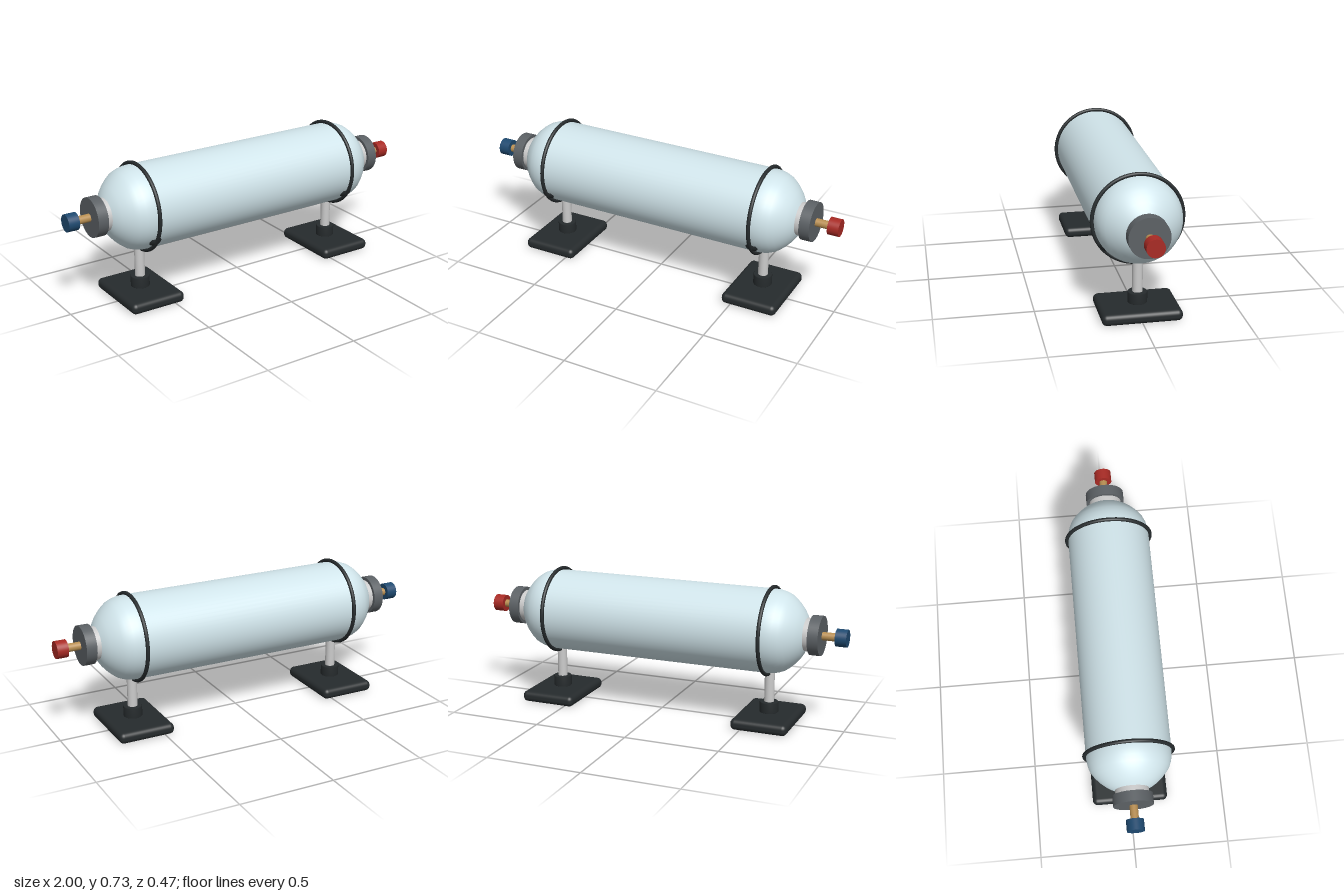
import * as THREE from 'three';
import { RoundedBoxGeometry } from 'three/addons/geometries/RoundedBoxGeometry.js';

const AXIS_Y = 0.493;
const mat = (color, extra = {}) => new THREE.MeshStandardMaterial({ color, ...extra });

export function createModel() {
  const model = new THREE.Group();
  model.name = 'pressureVessel';
  const shell = mat(0xd0e4ea, { side: THREE.DoubleSide });
  const rubber = mat(0x262b2d);
  const steel = mat(0xcccccc);
  const iron = mat(0x5c6165);
  const brass = mat(0xb98f52);

  const add = (parent, name, geometry, material, x, y, z = 0) => {
    const mesh = new THREE.Mesh(geometry, material);
    mesh.name = name;
    mesh.position.set(x, y, z);
    parent.add(mesh);
    return mesh;
  };

  // Disc or rod lying along x between two x positions
  const rod = (parent, name, r, x0, x1, material) => {
    const geometry = new THREE.CylinderGeometry(r, r, Math.abs(x1 - x0), 48);
    geometry.rotateZ(Math.PI / 2);
    return add(parent, name, geometry, material, (x0 + x1) / 2, AXIS_Y);
  };

  // Tank body: straight barrel with domed shoulders
  const dome = [[0.217, 0.6], [0.2155, 0.63], [0.209, 0.66], [0.197, 0.69],
    [0.18, 0.713], [0.16, 0.735], [0.135, 0.757], [0.11, 0.774], [0.083, 0.787]];
  const half = dome.map(([r, x]) => new THREE.Vector2(r, x));
  const profile = [...half.map(p => new THREE.Vector2(p.x, -p.y)).reverse(), ...half];
  const tank = new THREE.LatheGeometry(profile, 64);
  tank.rotateZ(-Math.PI / 2);
  add(model, 'tank', tank, shell, 0, AXIS_Y);

  for (const s of [1, -1]) {
    // Neck, flange, outlet pipe and coloured cap
    const end = new THREE.Group();
    end.name = s > 0 ? 'leftEnd' : 'rightEnd';
    model.add(end);
    rod(end, 'neck', 0.085, s * 0.77, s * 0.825, steel);
    rod(end, 'flange', 0.102, s * 0.815, s * 0.87, iron);
    rod(end, 'outletPipe', 0.021, s * 0.86, s * 0.95, brass);
    rod(end, 'cap', 0.045, s * 0.942, s, mat(s > 0 ? 0xa82a24 : 0x1f4a70));

    // Clamp band around the barrel
    const band = new THREE.TorusGeometry(0.225, 0.01, 12, 64);
    band.rotateY(Math.PI / 2);
    add(model, 'clampBand', band, rubber, s * 0.6, AXIS_Y);

    // Stand: padded foot, collar, post and front lug
    const stand = new THREE.Group();
    stand.name = s > 0 ? 'leftStand' : 'rightStand';
    stand.position.x = s * 0.6;
    model.add(stand);
    add(stand, 'foot', new RoundedBoxGeometry(0.3, 0.058, 0.4, 5, 0.025), rubber, 0, 0.029);
    const collar = [[0, 0], [0.046, 0], [0.049, 0.004], [0.049, 0.055], [0.046, 0.059], [0, 0.059]]
      .map(([r, y]) => new THREE.Vector2(r, y));
    add(stand, 'collar', new THREE.LatheGeometry(collar, 32), rubber, 0, 0.056);
    add(stand, 'post', new THREE.CylinderGeometry(0.026, 0.026, 0.2, 32), steel, 0, 0.2);
    const bowl = new THREE.SphereGeometry(0.044, 24, 10, 0, Math.PI * 2, Math.PI / 2, Math.PI / 2);
    add(stand, 'lug', bowl, rubber, 0, 0.38, 0.148);
    const lid = new THREE.CircleGeometry(0.044, 24);
    lid.rotateX(-Math.PI / 2);
    add(stand, 'lugTop', lid, rubber, 0, 0.38, 0.148);
  }
  return model;
}
